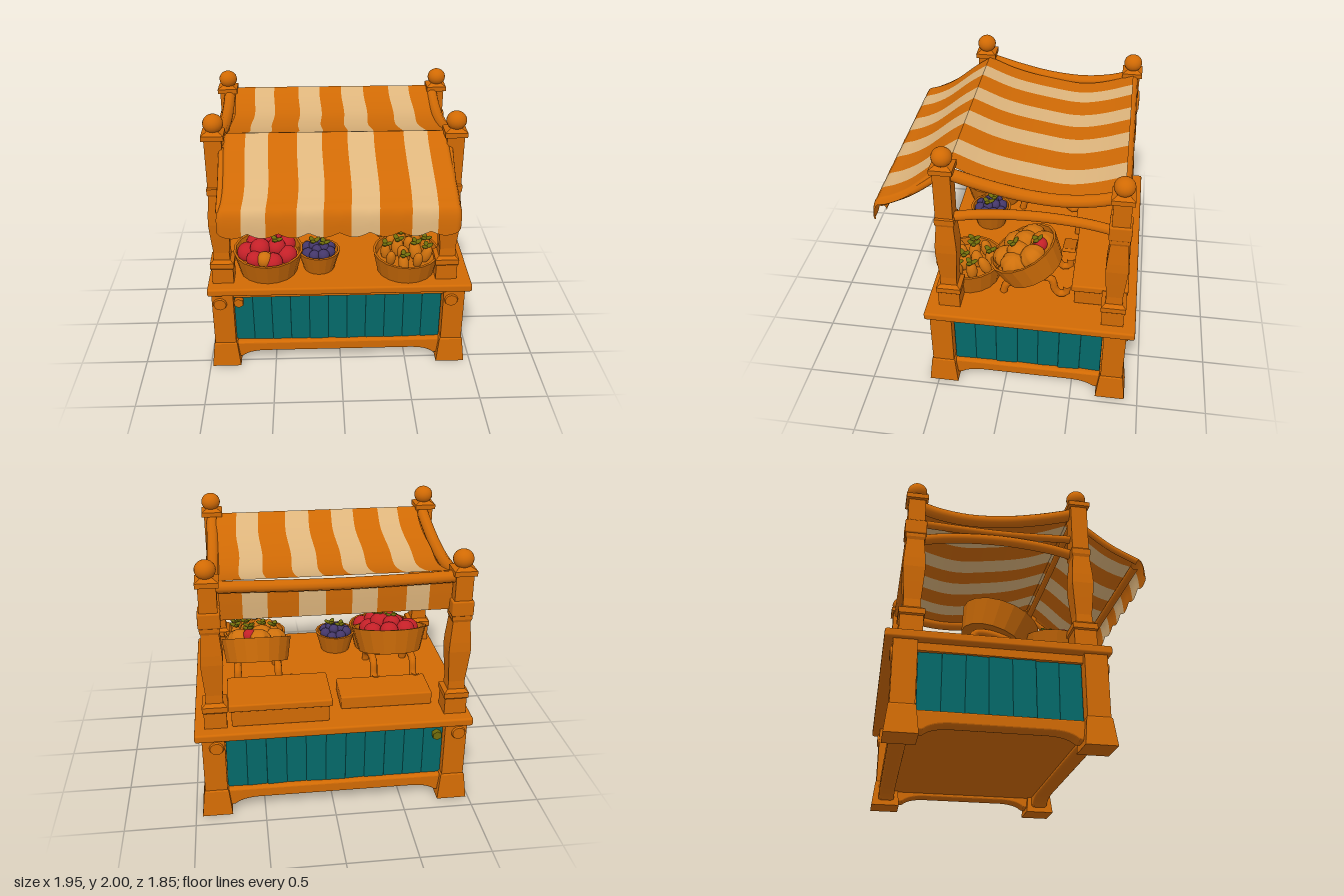
import * as THREE from 'three';
import { RoundedBoxGeometry } from 'three/addons/geometries/RoundedBoxGeometry.js';

export function createModel() {
  const root = new THREE.Group();
  root.name = 'marketStall';
  const mat = (name, color, side = THREE.FrontSide) => {
    const m = new THREE.MeshStandardMaterial({ color, side });
    m.name = name;
    return m;
  };
  const wood = mat('wood', 0xd16a04);
  const basketWood = mat('basketWood', 0xc66807);
  const teal = mat('tealPlanks', 0x046969);
  const clothOrange = mat('orangeCloth', 0xd06a05, THREE.DoubleSide);
  const clothCream = mat('creamCloth', 0xdeb57c, THREE.DoubleSide);
  const red = mat('redFruit', 0xc42028);
  const purple = mat('purpleFruit', 0x44376a);
  const orange = mat('orangeFruit', 0xce700c);
  const olive = mat('leaf', 0x6f6c0a);

  let seed = 7;
  const rnd = () => ((seed = (seed * 16807) % 2147483647) / 2147483647) - 0.5;
  const V = (x, y, z) => new THREE.Vector3(x, y, z);
  const add = (name, geo, m, x = 0, y = 0, z = 0, parent = root) => {
    const mesh = new THREE.Mesh(geo, m);
    mesh.name = name;
    mesh.position.set(x, y, z);
    parent.add(mesh);
    return mesh;
  };
  const box = (name, w, h, d, m, x, y, z, r = 0.012) =>
    add(name, new RoundedBoxGeometry(w, h, d, 2, r), m, x, y, z);
  const tube = (name, pts, r) =>
    add(name, new THREE.TubeGeometry(new THREE.CatmullRomCurve3(pts.map((p) => V(...p))), 24, r, 10), wood);
  const flat = (g) => {
    const n = g.toNonIndexed();
    n.computeVertexNormals();
    return n;
  };
  // Square turned post: pairs of [half width, height]
  const squarePost = (pts) => flat(new THREE.LatheGeometry(
    pts.map(([h, y]) => new THREE.Vector2(h * Math.SQRT2, y)), 4, Math.PI / 4));

  // Counter
  box('counterTop', 1.95, 0.06, 1.5, wood, -0.005, 0.67, -0.18, 0.015);
  box('counterCore', 1.66, 0.5, 1.2, wood, -0.02, 0.37, -0.17);

  // Legs with flared feet, and carved roof posts
  const leg = squarePost([[0, 0], [0.108, 0], [0.087, 0.19], [0.079, 0.2], [0.079, 0.65]]);
  for (const sx of [-1, 1]) for (const sz of [-1, 1]) {
    const x = sx < 0 ? -0.875 : 0.845, z = sz > 0 ? 0.46 : -0.795;
    add('leg', leg, wood, x, 0, z);
    const bolt = new THREE.CylinderGeometry(0.045, 0.054, 0.02, 14);
    add('legBolt', bolt, wood, x - 0.02, 0.555, z + sz * 0.083).rotation.x = sz * Math.PI / 2;
    const px = sx < 0 ? -0.865 : (sz > 0 ? 0.785 : 0.82), pz = sz > 0 ? 0.4 : -0.765;
    const top = sz > 0 ? 1.85 : 1.76;
    add('roofPost', squarePost([[0.078, 0.69], [0.078, 0.82], [0.087, 0.83], [0.087, 0.87], [0.06, 0.89],
      [0.057, 0.95], [0.068, 1.08], [0.076, 1.19], [0.073, 1.26], [0.06, 1.41], [0.068, 1.43], [0.068, 1.47],
      [0.06, 1.48], [0.06, top - 0.02], [0.077, top - 0.015], [0.077, top + 0.02], [0.04, top + 0.04],
      [0, top + 0.04]]), wood, px, 0, pz);
    add('postBall', new THREE.SphereGeometry(0.07, 20, 14), wood, px + 0.005, top + 0.085, pz).scale.y = 0.93;
    if (sz < 0) box('postBracket', 0.15, 0.11, 0.15, wood, px, 1.51, pz);
  }

  // Planks, top strip and arched bottom rail on one side of the counter
  const panel = (name, length, count, x, z, angle) => {
    const g = new THREE.Group();
    g.name = name;
    g.position.set(x, 0, z);
    g.rotation.y = angle;
    root.add(g);
    const w = length / count;
    for (let i = 0; i < count; i++) {
      const p = add('plank', new RoundedBoxGeometry(w + 0.004, 0.45, 0.035, 2, 0.01), teal,
        -length / 2 + (i + 0.5) * w, 0.385, rnd() * 0.01, g);
      p.rotation.z = rnd() * 0.02;
      p.rotation.y = rnd() * 0.15;
    }
    add('topStrip', new THREE.BoxGeometry(length + 0.06, 0.06, 0.08), wood, 0, 0.615, 0, g);
    const e = length / 2 + 0.04, s = new THREE.Shape();
    s.moveTo(-e, 0.165);
    s.lineTo(-e, 0.05);
    s.lineTo(-e + 0.08, 0.055);
    s.quadraticCurveTo(-e + 0.13, 0.1, -e + 0.25, 0.105);
    s.lineTo(e - 0.25, 0.105);
    s.quadraticCurveTo(e - 0.13, 0.1, e - 0.08, 0.055);
    s.lineTo(e, 0.05);
    s.lineTo(e, 0.165);
    add('bottomRail', new THREE.ExtrudeGeometry(s, {
      depth: 0.06, bevelSize: 0.015, bevelThickness: 0.03, bevelSegments: 4, curveSegments: 6,
    }), wood, 0, 0, -0.035, g);
  };
  panel('frontPanel', 1.56, 11, -0.02, 0.46, 0);
  panel('backPanel', 1.56, 11, -0.02, -0.795, Math.PI);
  panel('rightPanel', 1.08, 7, 0.845, -0.165, Math.PI / 2);
  panel('leftPanel', 1.08, 7, -0.875, -0.165, -Math.PI / 2);
  add('frontNut', new THREE.CylinderGeometry(0.038, 0.038, 0.04, 6), wood, -0.76, 0.54, 0.495).rotation.x = Math.PI / 2;
  add('backNut', new THREE.CylinderGeometry(0.035, 0.035, 0.04, 6), olive, -0.75, 0.52, -0.83).rotation.x = Math.PI / 2;

  // Roof rails and braces
  for (const x of [-0.85, 0.785]) {
    tube('saggingRail', [[x, 1.81, 0.38], [x, 1.74, 0.14], [x, 1.685, -0.12], [x, 1.665, -0.38], [x, 1.69, -0.6], [x, 1.74, -0.77]], 0.044);
    tube('archedBrace', [[x, 1.45, 0.4], [x, 1.495, 0.18], [x, 1.52, -0.18], [x, 1.495, -0.54], [x, 1.45, -0.76]], 0.036);
    tube('awningArm', [[x * 0.95, 1.76, 0.43], [x * 0.95, 1.59, 0.66], [x * 0.95, 1.49, 0.86]], 0.024);
  }
  tube('leftRail', [[-0.855, 1.59, 0.4], [-0.855, 1.57, -0.18], [-0.855, 1.59, -0.76]], 0.028);
  tube('backRail', [[-0.86, 1.725, -0.775], [-0.02, 1.71, -0.775], [0.82, 1.725, -0.775]], 0.04);
  tube('frontRail', [[-0.86, 1.785, 0.39], [-0.02, 1.785, 0.39], [0.78, 1.785, 0.39]], 0.025);
  tube('awningRod', [[-0.8, 1.455, 0.845], [0, 1.455, 0.845], [0.76, 1.455, 0.845]], 0.03);

  // Striped cloth swept along a [z, y] profile; scallop cuts the hem, droop folds the side edges inward
  const edges = [-0.795, -0.64, -0.485, -0.29, -0.12, 0.055, 0.235, 0.44, 0.605, 0.755];
  const cloth = (name, profile, scallop, droop) => {
    const rows = 28, cols = 12;
    const curve = new THREE.CatmullRomCurve3(profile.map(([z, y]) => V(0, y, z)), false, 'centripetal');
    const line = curve.getSpacedPoints(rows);
    for (let k = 0; k < edges.length - 1; k++) {
      const pos = [], idx = [];
      line.forEach((p, i) => {
        const flare = 1 + 0.07 * Math.max(0, p.z - 0.42);
        const hang = Math.min(1, (rows - i) / 8);
        for (let j = 0; j <= cols; j++) {
          const x0 = edges[k] + (edges[k + 1] - edges[k]) * j / cols;
          const hem = scallop * Math.abs(Math.sin((x0 + 0.795) / 1.55 * Math.PI * 8)) * Math.max(0, i / rows - 0.8) * 5;
          const side = Math.max(0, Math.abs(x0 + 0.02) - 0.745) / 0.03;
          const fold = droop * side * side;
          pos.push(x0 * flare + 0.007 * Math.sin(p.z * 11), p.y - hem - fold * hang, p.z - fold * (1 - hang) * 0.6);
          if (i < rows && j < cols) {
            const a = i * (cols + 1) + j, b = a + cols + 1;
            idx.push(a, b, a + 1, b, b + 1, a + 1);
          }
        }
      });
      const g = new THREE.BufferGeometry();
      g.setAttribute('position', new THREE.Float32BufferAttribute(pos, 3));
      g.setIndex(idx);
      g.computeVertexNormals();
      add(name + 'Stripe', g, k % 2 ? clothCream : clothOrange);
    }
  };
  cloth('canopy', [[0.37, 1.85], [0.14, 1.765], [-0.12, 1.70], [-0.38, 1.675], [-0.6, 1.71], [-0.775, 1.768]], 0, 0);
  cloth('backValance', [[-0.77, 1.7], [-0.765, 1.6], [-0.755, 1.48]], 0, 0);
  cloth('awning', [[0.37, 1.85], [0.47, 1.78], [0.66, 1.63], [0.78, 1.565], [0.885, 1.52], [0.91, 1.46], [0.92, 1.37]], 0.035, 0.045);

  // Fruit
  const ridged = new THREE.SphereGeometry(1, 32, 14);
  const rp = ridged.attributes.position;
  for (let i = 0; i < rp.count; i++) {
    const f = 0.9 + 0.1 * Math.abs(Math.sin(4 * Math.atan2(rp.getZ(i), rp.getX(i))));
    rp.setXYZ(i, rp.getX(i) * f, rp.getY(i) * 0.85, rp.getZ(i) * f);
  }
  ridged.computeVertexNormals();
  const round = new THREE.SphereGeometry(1, 18, 12);
  const fruit = (g, geo, m, r, x, y, z, leaves = true, stretch = 1) => {
    const f = add('fruit', geo, m, x, y, z, g);
    f.scale.set(r, r * stretch, r);
    f.rotation.set(rnd() * 0.8, rnd() * 3, rnd() * 0.8);
    if (!leaves) return;
    for (let i = 0; i < 3; i++) {
      const a = i * 2.1 + rnd();
      const l = add('leaf', round, olive, x + Math.cos(a) * 0.022, y + r * stretch * 0.95 + 0.005, z + Math.sin(a) * 0.022, g);
      l.scale.set(0.03, 0.012, 0.019);
      l.rotation.set(0, -a, 0.4);
    }
  };

  // Tapered basket holding a ring of fruit and a heap in the middle
  const basket = (name, x, y, z, tilt, rb, rt, h, fill) => {
    const g = new THREE.Group();
    g.name = name;
    g.position.set(x, y, z);
    g.rotation.x = tilt;
    root.add(g);
    const pts = [[0, 0], [rb, 0], [rt, h], [rt - 0.018, h], [rt - 0.03, h * 0.65], [0, h * 0.65]];
    add('basketBody', flat(new THREE.LatheGeometry(pts.map((p) => new THREE.Vector2(...p)), 18)), basketWood, 0, 0, 0, g);
    const ring = (n, R, yy, geo, m, r, leafy, stretch) => {
      for (let i = 0; i < n; i++) {
        const a = i / n * Math.PI * 2 + 0.4;
        fruit(g, geo, m, r * (1 + rnd() * 0.15), Math.cos(a) * R, yy + rnd() * 0.02, Math.sin(a) * R, leafy && i % 2 === 0, stretch);
      }
    };
    fill(g, ring);
  };
  const apples = (g, ring) => {
    ring(7, 0.155, 0.165, round, red, 0.073, false, 0.92);
    ring(3, 0.07, 0.21, round, red, 0.073, true, 0.92);
    fruit(g, round, orange, 0.06, -0.02, 0.185, 0.15, false);
  };
  const pumpkins = (g, ring) => {
    ring(6, 0.15, 0.165, ridged, orange, 0.097, false);
    ring(2, 0.05, 0.195, ridged, orange, 0.09, true);
    fruit(g, round, red, 0.05, 0.05, 0.2, -0.16);
  };
  const gourds = (g, ring) => {
    ring(9, 0.155, 0.155, round, orange, 0.038, true, 1.9);
    ring(4, 0.07, 0.165, round, orange, 0.045, true, 1.6);
  };
  const plums = (g, ring) => {
    ring(8, 0.09, 0.145, round, purple, 0.042, false);
    ring(4, 0.04, 0.18, round, purple, 0.04, true);
  };
  basket('frontAppleBasket', -0.535, 0.7, 0.28, 0.06, 0.215, 0.26, 0.185, apples);
  basket('rearAppleBasket', -0.52, 0.88, -0.16, 0.32, 0.235, 0.285, 0.185, apples);
  basket('gourdBasket', 0.5, 0.7, 0.31, 0.05, 0.215, 0.25, 0.165, gourds);
  basket('pumpkinBasket', 0.5, 0.84, -0.16, 0.46, 0.235, 0.265, 0.18, pumpkins);
  basket('plumBasket', -0.155, 0.7, 0.27, 0, 0.115, 0.16, 0.155, plums);

  // Bent stands beneath the tilted baskets
  for (const cx of [-0.52, 0.5]) for (const s of [-0.15, 0.15]) {
    tube('basketStand', [[cx + s, 0.7, 0.04], [cx + s, 0.77, 0.02], [cx + s, 0.82, -0.06], [cx + s, 0.87, -0.22],
      [cx + s, 0.86, -0.31], [cx + s, 0.77, -0.335], [cx + s, 0.73, -0.37], [cx + s, 0.75, -0.42], [cx + s, 0.81, -0.42]], 0.028);
  }

  // Crates at the back of the counter
  box('tallCrate', 0.68, 0.13, 0.36, wood, 0.37, 0.765, -0.66);
  box('tallCrateLid', 0.72, 0.055, 0.4, wood, 0.37, 0.855, -0.66);
  box('lowCrate', 0.66, 0.1, 0.28, wood, -0.4, 0.75, -0.56);
  box('leaningBoard', 0.28, 0.03, 0.1, wood, 0.14, 0.76, -0.4, 0.008).rotation.z = 0.4;
  return root;
}
